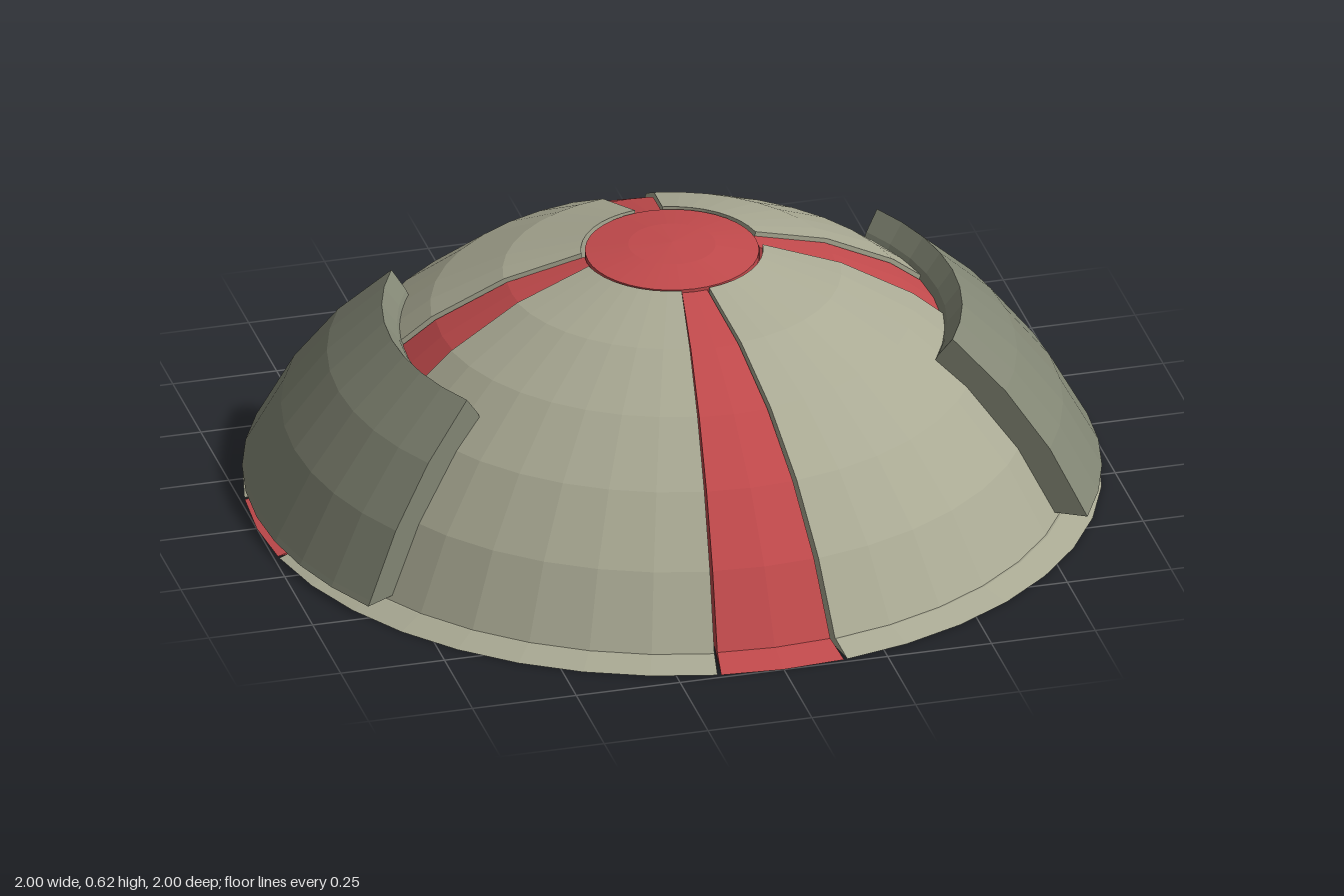
import * as THREE from 'three';
import { mergeGeometries } from 'three/addons/utils/BufferGeometryUtils.js';

const CENTRE_Y = -0.4; // all curved layers share one sphere centre below the ground
const rad = THREE.MathUtils.degToRad;

const material = (color) => new THREE.MeshStandardMaterial({ color, flatShading: true });
const shellMat = material(0xaaaa94);
const panelMat = material(0x838775);
const redMat = material(0xc24a4c);

// Points along a sphere of radius R, between two angles measured from the vertical
function arc(R, from, to, steps) {
  return Array.from({ length: steps + 1 }, (_, i) => {
    const a = rad(from + ((to - from) * i) / steps);
    return new THREE.Vector2(Math.max(0, R * Math.sin(a)), CENTRE_Y + R * Math.cos(a));
  });
}

const pt = (r, y) => new THREE.Vector2(r, y);

// Solid wedge: a closed counter-clockwise profile swept around y, with both ends capped
function sector(profile, centreDeg, halfDeg, segments) {
  const start = rad(centreDeg - halfDeg);
  const sweep = rad(halfDeg * 2);
  const side = new THREE.LatheGeometry([...profile, profile[0]], segments, start, sweep);
  const cap = (phi, flip) => {
    const g = new THREE.ShapeGeometry(new THREE.Shape(profile));
    if (flip) g.index.array.reverse();
    return g.rotateY(phi - Math.PI / 2);
  };
  const g = mergeGeometries([side, cap(start, false), cap(start + sweep, true)]).toNonIndexed();
  g.computeVertexNormals();
  return g;
}

function add(group, name, geometry, mat) {
  const mesh = new THREE.Mesh(geometry, mat);
  mesh.name = name;
  group.add(mesh);
}

export function createModel() {
  const model = new THREE.Group();
  model.name = 'segmentedDome';

  // Outer shell and inlaid strips: flange, outer curve up, inner curve down
  const shellProfile = [
    pt(0.85, 0), pt(1, 0), pt(0.935, 0.02),
    ...arc(1.02, 65.7, 12, 5), ...arc(0.94, 13, 64, 5),
  ];
  const stripProfile = [
    pt(0.85, 0), pt(1, 0), pt(0.927, 0.016),
    ...arc(1.01, 65.6, 11.7, 5), ...arc(0.94, 12.5, 64, 5),
  ];
  // Raised side panels: lower edge, outer curve, top edge, back buried in the shell
  const panelProfile = [
    pt(0.9, 0.03), pt(1, 0.03),
    ...arc(1.087, 66, 38.4, 3), pt(0.64, 0.405), ...arc(0.99, 39, 64, 4),
  ];

  for (let i = 0; i < 4; i++) {
    add(model, 'shellQuarter', sector(shellProfile, 45 + i * 90, 36, 8), shellMat);
    add(model, 'redStrip', sector(stripProfile, i * 90, 8.5, 2), redMat);
  }
  for (const angle of [90, -90]) {
    add(model, 'sidePanel', sector(panelProfile, angle, 30, 8), panelMat);
  }

  // Inner core with a flat base, seen through the gaps
  add(model, 'innerCore', new THREE.LatheGeometry(
    [pt(0, 0.006), pt(0.78, 0.006), ...arc(0.88, 61.5, 0, 6)], 40), redMat);

  // Round cap on the crown
  add(model, 'topCap', new THREE.LatheGeometry(
    [pt(0, 0.45), pt(0.203, 0.45), ...arc(1.016, 11.5, 0, 2)], 40), redMat);

  return model;
}
